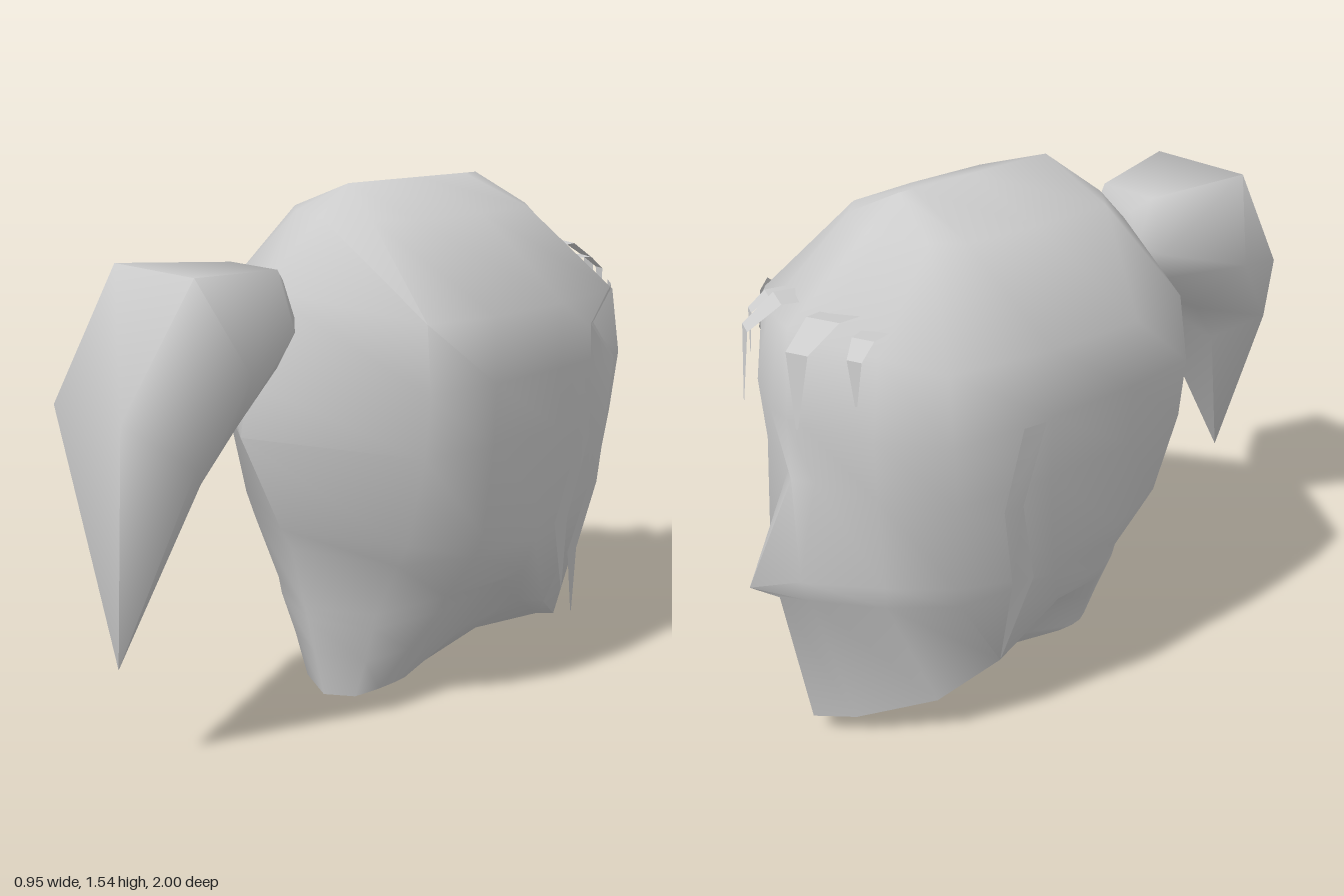
import * as THREE from 'three';
import { mergeVertices, toCreasedNormals } from 'three/addons/utils/BufferGeometryUtils.js';

const material = new THREE.MeshStandardMaterial({ color: 0xcccccc, side: THREE.DoubleSide });

// Skin a list of point rings (closed) or point rows (open) and smooth all but sharp edges
function loft(name, rings, closed, crease) {
  const n = rings[0].length;
  const index = [];
  for (let r = 0; r < rings.length - 1; r++) {
    for (let c = 0; c < (closed ? n : n - 1); c++) {
      const a = r * n + c, b = r * n + (c + 1) % n;
      index.push(a, b, a + n, b, b + n, a + n);
    }
  }
  const geometry = new THREE.BufferGeometry();
  geometry.setAttribute('position', new THREE.Float32BufferAttribute(rings.flat(2), 3));
  geometry.setIndex(index);
  const mesh = new THREE.Mesh(toCreasedNormals(mergeVertices(geometry), crease), material);
  mesh.name = name;
  return mesh;
}

// Complete a half outline (face centre, round the +x side, to back centre) into a ring
const mirrorRing = half => [...half, ...half.slice(1, -1).reverse().map(([x, y, z]) => [-x, y, z])];

function createHead() {
  // Rows: height, then x, z (and own height where it differs) from the face round to the back
  const level = [
    [1.545, [0, -0.45], [0, -0.45], [0, -0.45], [0, -0.4], [0, -0.2], [0, 0.08], [0, 0.08], [0, 0.08]],
    [1.46, [0, -0.56], [0.06, -0.54], [0.17, -0.49], [0.24, -0.42], [0.26, -0.2], [0.26, 0.06], [0.16, 0.14], [0, 0.19]],
    [1.21, [0, -0.82, 1.27], [0.07, -0.8, 1.26], [0.24, -0.72, 1.23], [0.405, -0.63], [0.46, -0.33], [0.475, -0.03], [0.43, 0.19], [0, 0.41, 1.28]],
    [1.02, [0, -0.845], [0.08, -0.84], [0.26, -0.76], [0.43, -0.64], [0.465, -0.33], [0.475, -0.04], [0.455, 0.2], [0, 0.46]],
    [0.84, [0, -0.845], [0.06, -0.81], [0.25, -0.75], [0.42, -0.62], [0.46, -0.33], [0.47, -0.04], [0.435, 0.2], [0, 0.49, 0.87]],
    [0.57, [0, -1], [0.07, -0.885], [0.25, -0.74], [0.385, -0.6], [0.44, -0.3], [0.435, -0.04], [0.36, 0.19], [0, 0.35]],
    [0.5, [0, -0.91], [0.07, -0.86], [0.24, -0.73], [0.37, -0.58], [0.425, -0.28], [0.415, -0.03], [0.32, 0.19], [0, 0.31]],
  ].map(([rowY, ...row]) => row.map(([x, z, y = rowY]) => [x, y, z]));
  const jaw = [[0, 0.06, -0.83], [0.1, 0.07, -0.75], [0.26, 0.13, -0.58], [0.35, 0.24, -0.42],
    [0.41, 0.4, -0.25], [0.33, 0.36, 0], [0.22, 0.32, 0.18], [0, 0.3, 0.26]];
  const jawUnderside = [[0, 0.062, -0.79], [0.09, 0.072, -0.7], [0.22, 0.13, -0.54], [0.29, 0.24, -0.37],
    [0.35, 0.36, -0.21], [0.31, 0.31, 0.01], [0.205, 0.27, 0.18], [0, 0.26, 0.25]];
  const throat = [[0, 0.08, -0.42], [0.06, 0.08, -0.4], [0.12, 0.1, -0.36], [0.17, 0.15, -0.26],
    [0.22, 0.2, -0.11], [0.23, 0.18, 0.05], [0.16, 0.15, 0.165], [0, 0.15, 0.225]];
  const neckRim = [[0, 0.03, -0.12], [0.06, 0.03, -0.1], [0.12, 0.04, -0.05], [0.16, 0.05, 0],
    [0.165, 0.05, 0.05], [0.15, 0.04, 0.1], [0.11, 0.02, 0.16], [0, 0, 0.19]];
  return loft('head', [...level, jaw, jawUnderside, throat, neckRim].map(mirrorRing), true, 1.15);
}

function createPonytail() {
  // Half width, then upper and lower edge as z, y
  const sections = [
    [0, 0.4, 1.23, 0.4, 1.23], [0.1, 0.4, 1.31, 0.39, 1.15], [0.16, 0.45, 1.35, 0.44, 1.08],
    [0.282, 0.78, 1.372, 0.63, 0.96], [0.245, 1, 1.03, 0.74, 0.82], [0, 0.94, 0.315, 0.94, 0.315],
  ];
  const rings = sections.map(([w, zu, yu, zl, yl]) =>
    [[1, 0.4], [0.62, 1], [-0.62, 1], [-1, 0.4], [-0.5, 0], [0.5, 0]].map(([s, t]) =>
      [0.025 + s * w, THREE.MathUtils.lerp(yl, yu, t), THREE.MathUtils.lerp(zl, zu, t)]));
  return loft('ponytail', rings, true, 1.5);
}

// Flat side lock bent round the temple: rows of x (at z = -0.5), y, front z, back z
function sideLock(name, rows, side) {
  const bend = (x, z) => side * (x + 0.13 * (z + 0.5) - 1.2 * Math.max(0, -0.62 - z));
  return loft(name, rows.map(([x, y, zf, zb]) =>
    [[bend(x, zf), y, zf], [bend(x, zb), y, zb]]), false, 0.6);
}

// Fringe lock: rows of centre x, y, z and half width
function fringeLock(name, rows, side) {
  return loft(name, rows.map(([x, y, z, w]) =>
    [[side * (x - w), y, z - w * 0.4], [side * (x + w), y, z + w * 0.4]]), false, 0.6);
}

export function createModel() {
  const group = new THREE.Group();
  group.name = 'ponytailHead';
  group.add(createHead(), createPonytail());

  for (const [label, side] of [['left', 1], ['right', -1]]) {
    // Long lock hanging over each temple
    group.add(sideLock(label + 'SideLock', [
      [0.454, 1.02, -0.43, -0.36], [0.45, 0.79, -0.49, -0.43],
      [0.412, 0.53, -0.435, -0.365], [0.385, 0.285, -0.455, -0.452]], side));
    // Short locks curling over the forehead
    group.add(fringeLock(label + 'InnerFringe', [
      [0.085, 1.305, -0.695, 0.05], [0.1, 1.31, -0.78, 0.045],
      [0.115, 1.25, -0.875, 0.03], [0.12, 1.05, -0.893, 0.003]], side));
    group.add(fringeLock(label + 'OuterFringe', [
      [0.19, 1.28, -0.68, 0.035], [0.21, 1.28, -0.74, 0.03],
      [0.23, 1.24, -0.785, 0.02], [0.235, 1.12, -0.79, 0.003]], side));
  }

  // Hooked lock in front of the left temple only
  group.add(sideLock('leftHookedLock', [
    [0.436, 1.23, -0.67, -0.6], [0.451, 1.13, -0.69, -0.47], [0.457, 1, -0.6, -0.47],
    [0.449, 0.79, -0.575, -0.49], [0.418, 0.61, -0.59, -0.545],
    [0.388, 0.4, -0.53, -0.48], [0.34, 0.16, -0.585, -0.58]], 1));
  return group;
}
